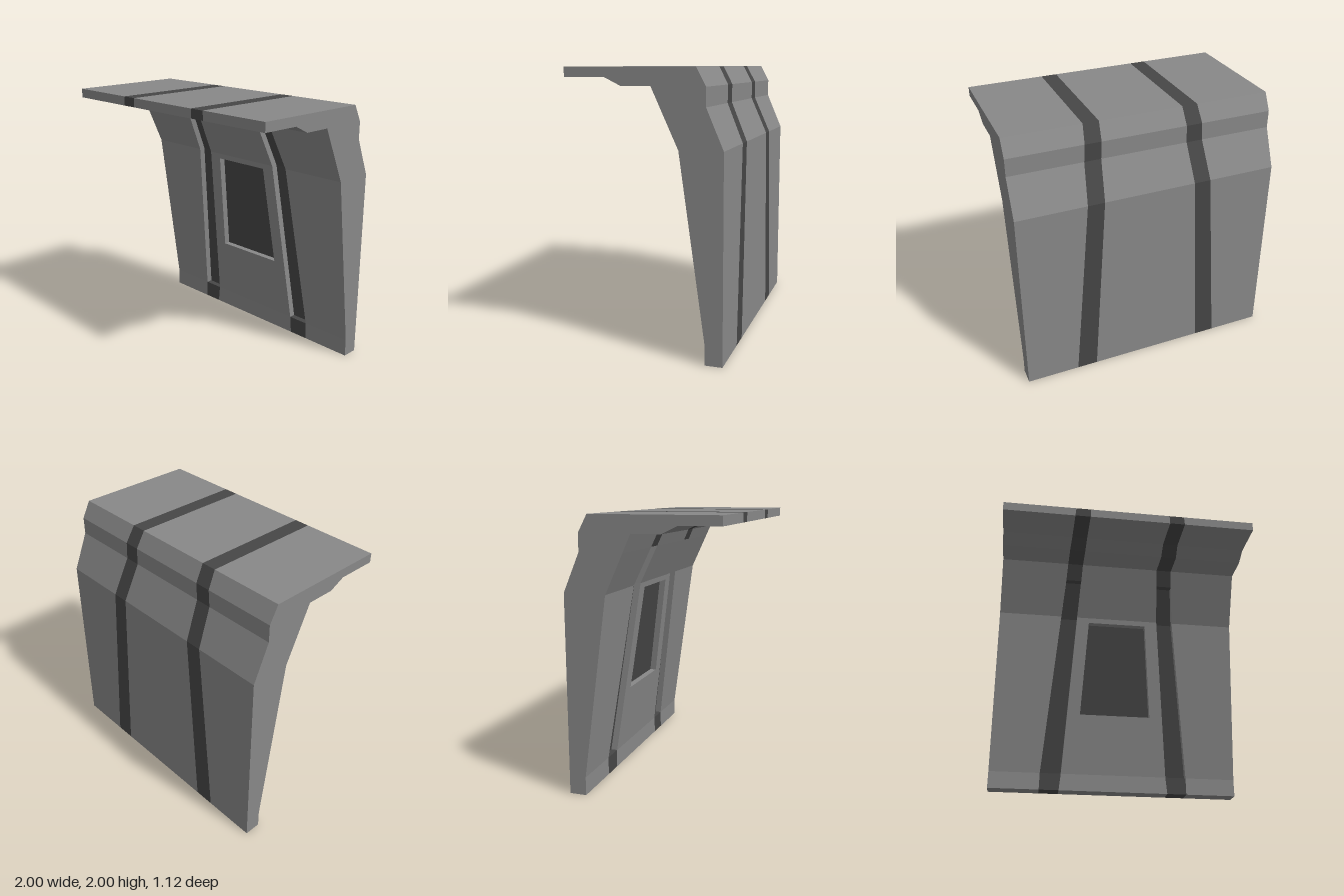
import * as THREE from 'three';

// Cross-section corners, in order round the wall: [z, y, stripe inner x, stripe outer x]
const PROFILE = [
  [-0.435, 0, 0.44, 0.597],
  [-0.435, 0.135, 0.427, 0.595],
  [-0.25, 1.462, 0.345, 0.481],
  [-0.119, 1.748, 0.328, 0.456],
  [-0.061, 1.875, 0.322, 0.448],
  [0.15, 1.875, 0.322, 0.448],
  [0.265, 1.931, 0.318, 0.44],
  [0.56, 1.931, 0.318, 0.438],
  [0.56, 2, 0.315, 0.432],
  [-0.37, 2, 0.315, 0.432],
  [-0.437, 1.875, 0.323, 0.445],
  [-0.437, 1.745, 0.328, 0.452],
  [-0.557, 1.465, 0.35, 0.477],
  [-0.56, 0, 0.44, 0.597],
];
const DEPTH = 0.05; // depth of the channels and the window recess

export function createModel() {
  const group = new THREE.Group();
  const grey = new THREE.MeshStandardMaterial({ color: 0x888888, flatShading: true });
  const dark = new THREE.MeshStandardMaterial({ color: 0x464646, flatShading: true });
  const shell = [], stripes = [], panel = [];

  const quad = (out, a, b, c, d) => out.push(...a, ...b, ...c, ...a, ...c, ...d);

  // Sunken face with walls on the chosen edges (0 bottom, 1 right, 2 top, 3 left)
  const recess = (floor, corners, edges, endWalls) => {
    const inner = corners.map(([x, y, z]) => [x, y, z - DEPTH]);
    quad(floor, ...inner);
    for (const e of edges) {
      const n = (e + 1) % 4;
      quad(e % 2 ? shell : endWalls, corners[e], corners[n], inner[n], inner[e]);
    }
  };

  // Front wall between the stripes, framed round the tapered window recess
  const windowWall = (outer) => {
    const [z0, y0] = PROFILE[1], [z1, y1] = PROFILE[2];
    const hole = [[-0.291, 0.622], [0.291, 0.622], [0.243, 1.42], [-0.243, 1.42]]
      .map(([x, y]) => [x, y, z0 + (z1 - z0) * (y - y0) / (y1 - y0)]);
    for (let e = 0; e < 4; e++) {
      const n = (e + 1) % 4;
      quad(shell, outer[e], outer[n], hole[n], hole[e]);
    }
    recess(panel, hole, [0, 1, 2, 3], shell);
  };

  // Skin: five columns across the width, following the profile all the way round
  const row = ([z, y, inX, outX]) => [-1, -outX, -inX, inX, outX, 1].map((x) => [x, y, z]);
  PROFILE.forEach((point, i) => {
    const p = row(point), q = row(PROFILE[(i + 1) % PROFILE.length]);
    for (let c = 0; c < 5; c++) {
      const face = [p[c], p[c + 1], q[c + 1], q[c]];
      const isStripe = c % 2 === 1;
      if (isStripe && i === 1) recess(stripes, face, [0, 1, 3], stripes);
      else if (isStripe && i === 2) recess(stripes, face, [1, 2, 3], stripes);
      else if (c === 2 && i === 1) windowWall(face);
      else quad(isStripe ? stripes : shell, ...face);
    }
  });

  const addSkin = (name, positions, material) => {
    const geometry = new THREE.BufferGeometry();
    geometry.setAttribute('position', new THREE.Float32BufferAttribute(positions, 3));
    geometry.computeVertexNormals();
    const mesh = new THREE.Mesh(geometry, material);
    mesh.name = name;
    group.add(mesh);
  };
  addSkin('wallAndCanopy', shell, grey);
  addSkin('ribStripes', stripes, dark);
  addSkin('windowPanel', panel, dark);

  // Flat ends of the wall section
  const outline = new THREE.Shape(PROFILE.map(([z, y]) => new THREE.Vector2(z, y)));
  const endMaterial = grey.clone();
  endMaterial.side = THREE.DoubleSide;
  for (const side of [-1, 1]) {
    const end = new THREE.Mesh(new THREE.ShapeGeometry(outline).rotateY(-Math.PI / 2), endMaterial);
    end.position.x = side;
    end.name = side > 0 ? 'leftEnd' : 'rightEnd';
    group.add(end);
  }
  return group;
}
